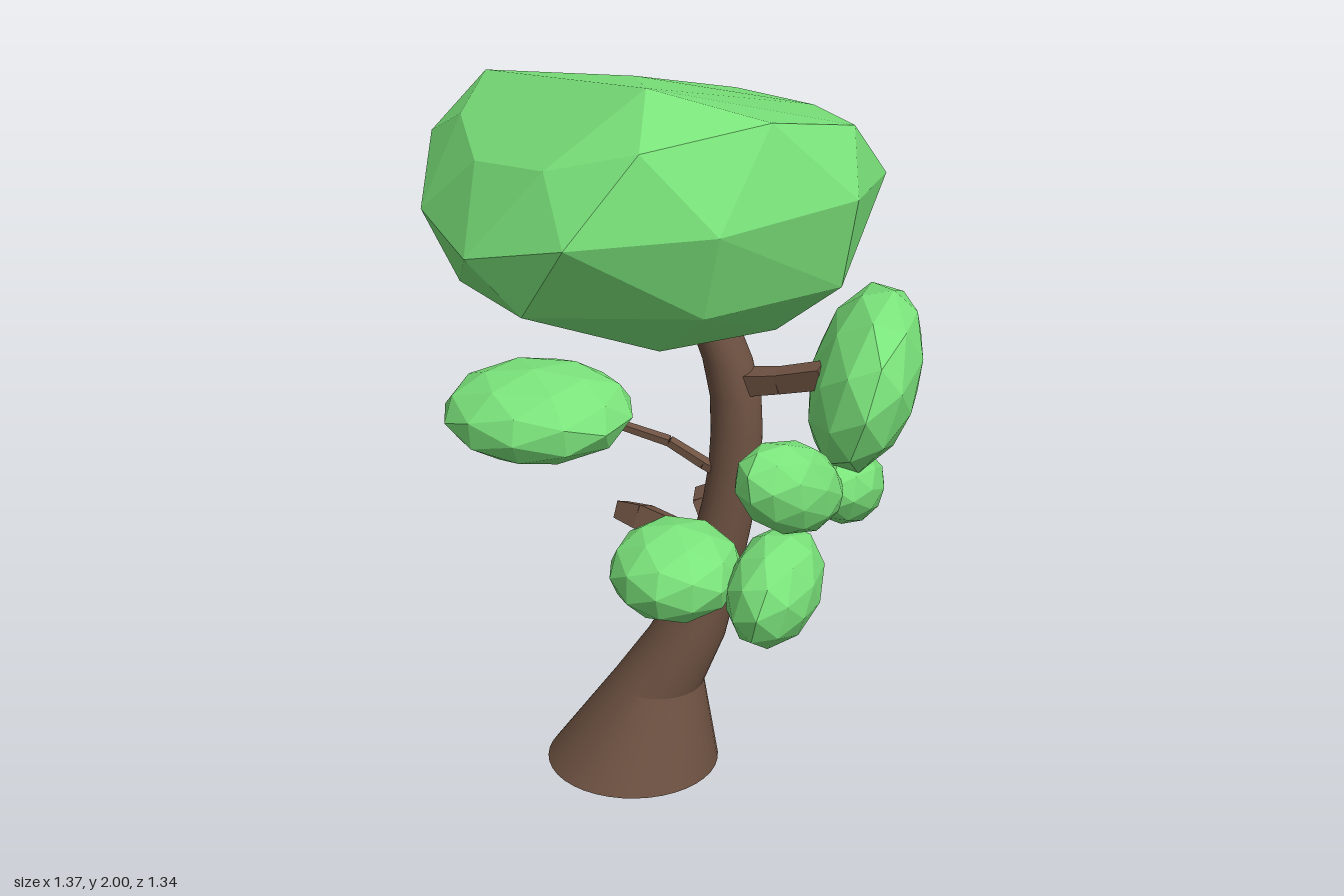
import * as THREE from 'three';
import { toCreasedNormals } from 'three/addons/utils/BufferGeometryUtils.js';
import { ConvexGeometry } from 'three/addons/geometries/ConvexGeometry.js';

const bark = new THREE.MeshStandardMaterial({ color: 0x6e5242 });
const barkFlat = new THREE.MeshStandardMaterial({ color: 0x6e5242, flatShading: true });
const leaf = new THREE.MeshStandardMaterial({ color: 0x7be47b, flatShading: true });

// Trunk: horizontal round sections [y, centre x, centre z, radius]
const sections = [
  [0, -0.074, -0.016, 0.237], [0.25, -0.005, -0.025, 0.127], [0.4, 0.075, -0.03, 0.105],
  [0.48, 0.105, -0.035, 0.092], [0.57, 0.132, -0.04, 0.082], [0.7, 0.165, -0.048, 0.074],
  [0.8, 0.185, -0.05, 0.071], [0.9, 0.197, -0.052, 0.069], [1.0, 0.201, -0.052, 0.068],
  [1.1, 0.197, -0.05, 0.067], [1.2, 0.175, -0.047, 0.065], [1.3, 0.137, -0.043, 0.063],
  [1.38, 0.1, -0.04, 0.06],
];

function trunkGeometry() {
  const n = sections.length - 1;
  const geo = new THREE.CylinderGeometry(1, 1, 1, 40, n);
  const p = geo.attributes.position;
  for (let i = 0; i < p.count; i++) {
    const [y, cx, cz, r] = sections[Math.round((p.getY(i) + 0.5) * n)];
    p.setXYZ(i, cx + p.getX(i) * r, y, cz + p.getZ(i) * r);
  }
  return toCreasedNormals(geo, 0.22);
}

// Branch: tapered low-poly pieces along a path of [x, y, z, radius]
function branch(name, path, sides = 5) {
  const group = new THREE.Group();
  group.name = name;
  for (let i = 0; i < path.length - 1; i++) {
    const a = new THREE.Vector3(...path[i]), b = new THREE.Vector3(...path[i + 1]);
    const dir = b.clone().sub(a);
    const geo = new THREE.CylinderGeometry(path[i + 1][3], path[i][3], dir.length(), sides, 1, false, Math.PI / sides);
    const mesh = new THREE.Mesh(geo, barkFlat);
    mesh.name = name + 'Piece';
    mesh.position.copy(a).add(b).multiplyScalar(0.5);
    mesh.quaternion.setFromUnitVectors(new THREE.Vector3(0, 1, 0), dir.normalize());
    group.add(mesh);
  }
  return group;
}

// Leaf clump: faceted ellipsoid
function clump(name, position, radii, rotation = [0, 0, 0]) {
  const mesh = new THREE.Mesh(new THREE.IcosahedronGeometry(1, 1), leaf);
  mesh.name = name;
  mesh.position.set(...position);
  mesh.scale.set(...radii);
  mesh.rotation.set(...rotation);
  return mesh;
}

// Crown: convex faceted mass, listed from the top down
const crownPoints = [
  // top
  [0.07, 2.0, 0.34], [0.37, 1.94, 0.34], [0.12, 1.91, 0.57], [-0.2, 1.9, 0.2], [0.5, 1.86, 0.02],
  [-0.05, 1.945, 0.03], [0.1, 1.82, -0.4], [-0.32, 1.79, -0.52], [-0.58, 1.83, -0.36],
  [-0.12, 1.84, 0.53], [-0.36, 1.79, 0.33], [-0.53, 1.8, -0.03], [0.34, 1.83, -0.25],
  // widest ring
  [-0.69, 1.69, -0.23], [-0.56, 1.61, 0.19], [-0.32, 1.61, 0.53], [-0.03, 1.7, 0.67], [0.3, 1.72, 0.54],
  [0.55, 1.73, 0.2], [0.54, 1.68, -0.21], [0.28, 1.65, -0.54], [-0.13, 1.62, -0.67], [-0.52, 1.69, -0.56],
  // lower ring
  [-0.59, 1.48, -0.02], [-0.42, 1.47, 0.3], [-0.17, 1.49, 0.56], [0.25, 1.5, 0.48], [0.51, 1.5, 0.17],
  [0.44, 1.48, -0.2], [0.15, 1.46, -0.52], [-0.3, 1.46, -0.56], [-0.52, 1.48, -0.35],
  // underside
  [-0.27, 1.34, -0.1], [0.12, 1.28, 0.03], [0.33, 1.34, 0.08], [0.1, 1.35, 0.33],
  [0.02, 1.33, -0.35], [-0.2, 1.36, 0.25],
];

export function createModel() {
  const tree = new THREE.Group();
  tree.name = 'tree';

  const trunk = new THREE.Mesh(trunkGeometry(), bark);
  trunk.name = 'trunk';
  tree.add(trunk);

  const crown = new THREE.Mesh(new ConvexGeometry(crownPoints.map(c => new THREE.Vector3(...c))), leaf);
  crown.name = 'crown';
  tree.add(crown);

  // Leaf clumps around the trunk
  tree.add(
    clump('rightClump', [-0.325, 1.02, 0.01], [0.262, 0.122, 0.21], [0.1, 0, 0.04]),
    clump('upperLeftClump', [0.525, 1.165, -0.105], [0.14, 0.245, 0.315], [0, 0.2, -0.27]),
    clump('middleLeftFrontClump', [0.405, 0.98, 0.22], [0.11, 0.118, 0.2], [-0.5, -0.35, 0]),
    clump('middleLeftClump', [0.495, 0.885, -0.045], [0.102, 0.105, 0.18], [-0.35, 0, 0]),
    clump('lowerFrontClump', [0.097, 0.685, 0.165], [0.175, 0.127, 0.19]),
    clump('lowerLeftClump', [0.36, 0.667, 0.155], [0.122, 0.152, 0.207], [0, 0, -0.25]),
  );

  // Branches holding the clumps
  tree.add(
    branch('rightBranch', [[0.18, 0.88, -0.03, 0.02], [0.12, 0.91, -0.02, 0.018], [0.03, 0.965, -0.01, 0.016], [-0.12, 1.005, 0, 0.014]]),
    branch('upperLeftBranch', [[0.2, 1.14, -0.04, 0.043], [0.32, 1.165, -0.02, 0.038], [0.44, 1.2, 0, 0.04]], 4),
    branch('middleLeftBranch', [[0.2, 0.89, -0.05, 0.018], [0.33, 0.91, -0.04, 0.015], [0.45, 0.9, -0.03, 0.013]]),
    branch('middleLeftFrontBranch', [[0.22, 0.89, -0.03, 0.016], [0.3, 0.92, 0.07, 0.014], [0.38, 0.96, 0.18, 0.012]]),
  );

  // Bare cut stubs
  tree.add(
    branch('rightStub', [[0.14, 0.66, -0.05, 0.034], [-0.08, 0.67, -0.145, 0.047], [-0.155, 0.67, -0.175, 0.034]], 4),
    branch('backStub', [[0.15, 0.67, -0.06, 0.034], [0.075, 0.673, -0.25, 0.047], [0.045, 0.676, -0.34, 0.034]], 4),
  );

  return tree;
}
